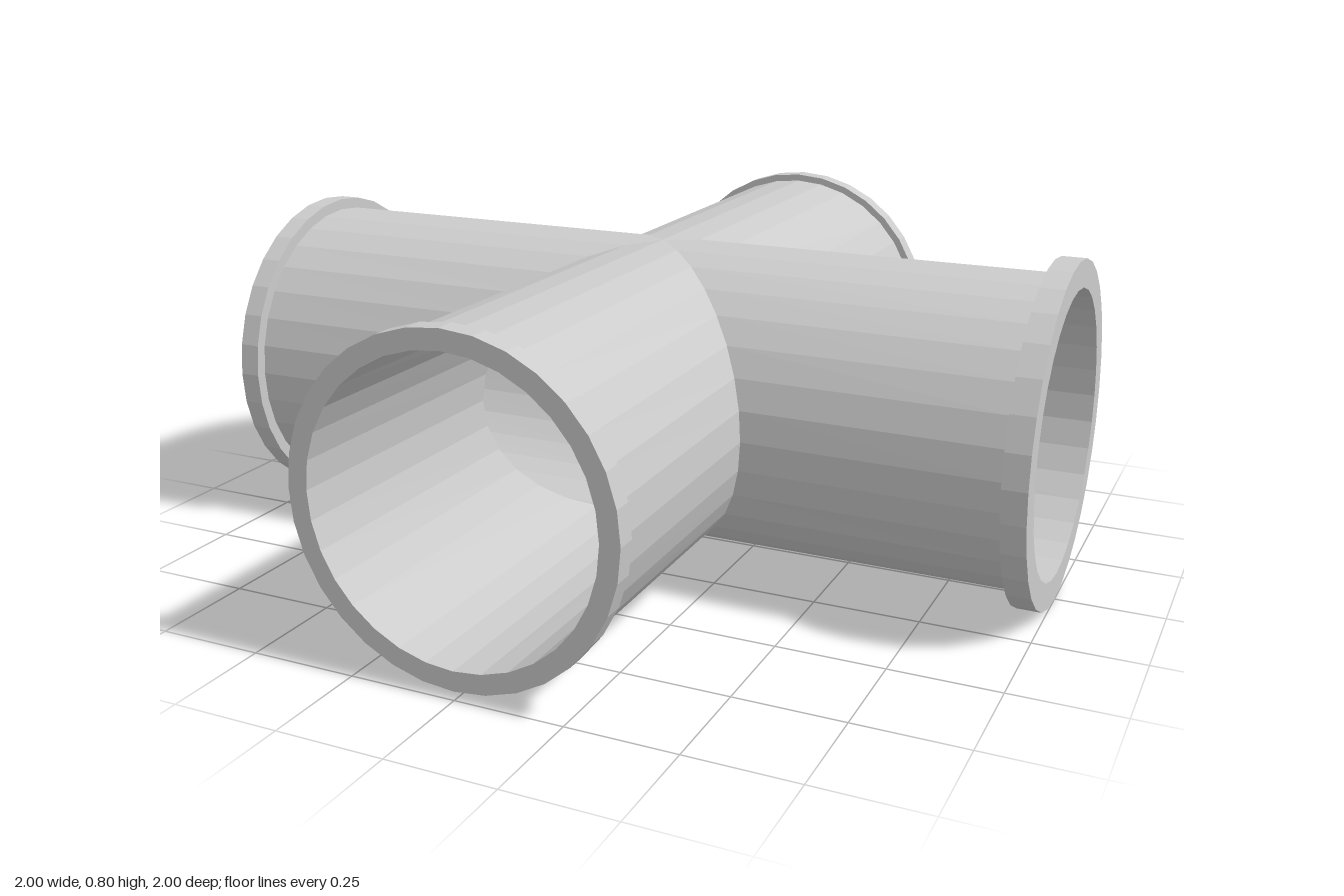
import * as THREE from 'three';

const SIDES = 32, AXIS_Y = 0.4;
const PIPE_R = 0.361, BORE_R = 0.334, SQUEEZE = 0.975;

const material = new THREE.MeshStandardMaterial({ color: 0xcccccc, flatShading: true });

// Round ring at distance z along the arm
const ring = (r, z) => (t) => [r * Math.cos(t), r * Math.sin(t), z];

// Mitred ring where neighbouring arms meet on the diagonal planes
const mitre = (r) => (t) => {
  const x = r * SQUEEZE * Math.cos(t);
  return [x, r * Math.sin(t), Math.abs(x)];
};

// Faceted skin through a list of rings
function skin(rings, name) {
  const pos = [];
  for (let i = 0; i < rings.length - 1; i++) {
    for (let j = 0; j < SIDES; j++) {
      const t0 = (j / SIDES) * Math.PI * 2;
      const t1 = ((j + 1) / SIDES) * Math.PI * 2;
      const a = rings[i](t0), b = rings[i + 1](t0);
      const c = rings[i](t1), d = rings[i + 1](t1);
      pos.push(...a, ...b, ...c, ...b, ...d, ...c);
    }
  }
  const geometry = new THREE.BufferGeometry();
  geometry.setAttribute('position', new THREE.Float32BufferAttribute(pos, 3));
  geometry.computeVertexNormals();
  const mesh = new THREE.Mesh(geometry, material);
  mesh.name = name;
  return mesh;
}

// One arm along +z: bore, outer wall and end collar
function arm(name, collarR, collarW) {
  const group = new THREE.Group();
  group.name = name;
  const back = 1 - collarW;
  group.add(
    skin([mitre(BORE_R), ring(BORE_R, 1)], 'bore'),
    skin([ring(PIPE_R, back), mitre(PIPE_R)], 'pipeWall'),
    skin([ring(BORE_R, 1), ring(collarR, 1), ring(collarR, back), ring(PIPE_R, back)], 'collar')
  );
  return group;
}

export function createModel() {
  const model = new THREE.Group();
  model.name = 'fourWayPipe';
  const arms = [
    ['frontArm', 0.379, 0.048],
    ['leftArm', 0.399, 0.056],
    ['backArm', 0.379, 0.048],
    ['rightArm', 0.388, 0.05],
  ];
  arms.forEach(([name, r, w], i) => {
    const part = arm(name, r, w);
    part.rotation.y = (i * Math.PI) / 2;
    part.position.y = AXIS_Y;
    model.add(part);
  });
  return model;
}
